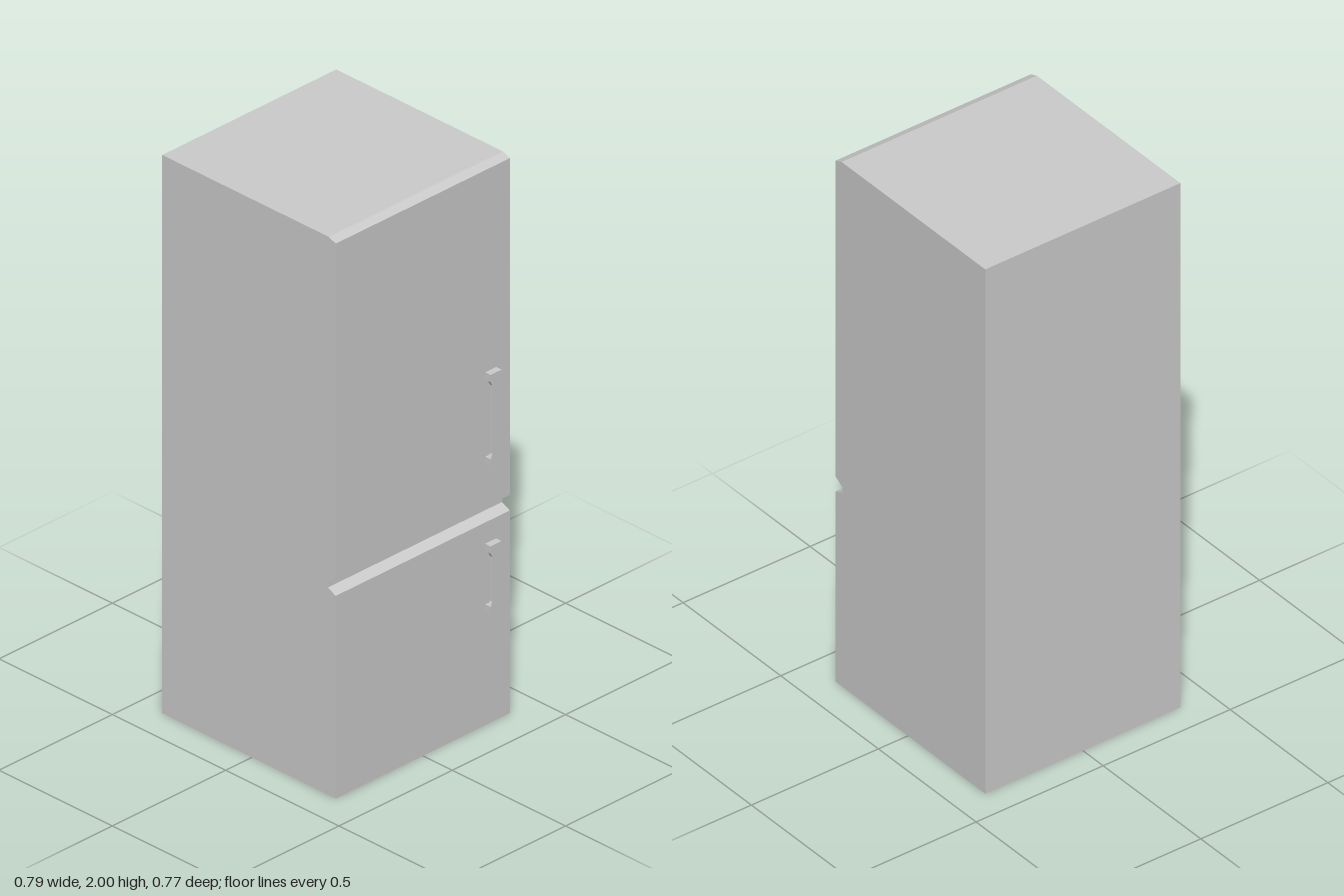
import * as THREE from 'three';

const material = new THREE.MeshStandardMaterial({ color: 0xcccccc, flatShading: true });

// Extrudes a closed outline given as [x, y] points
function extrude(points, depth) {
  const shape = new THREE.Shape(points.map(([x, y]) => new THREE.Vector2(x, y)));
  return new THREE.ExtrudeGeometry(shape, { depth, bevelEnabled: false });
}

function addMesh(parent, name, geometry) {
  const mesh = new THREE.Mesh(geometry, material);
  mesh.name = name;
  parent.add(mesh);
  return mesh;
}

const FACE = 0.37;             // door plane
const OUTER = 0.394;           // outer face of the handles
const NEAR = 0.275, FAR = 0.324; // handle extent towards the back

function createHandle(name, bottom, top) {
  const handle = new THREE.Group();
  handle.name = name;
  const foot = 0.026, thick = 0.011, waist = NEAR + 0.008;

  // Grip bar, waisted on its inner edge
  const grip = extrude([
    [NEAR, bottom], [FAR, bottom], [FAR, top], [NEAR, top],
    [NEAR, top - foot], [waist, top - foot - 0.015],
    [waist, bottom + foot + 0.015], [NEAR, bottom + foot],
  ], thick);
  grip.rotateY(Math.PI / 2);
  grip.translate(OUTER - thick, 0, 0);
  addMesh(handle, 'grip', grip);

  // Mounting feet joining the grip to the door
  const reach = OUTER - thick - FACE;
  for (const y of [bottom + foot / 2, top - foot / 2]) {
    addMesh(handle, 'handleFoot', new THREE.BoxGeometry(reach, foot, FAR - NEAR))
      .position.set(FACE + reach / 2, y, -(NEAR + FAR) / 2);
  }
  return handle;
}

export function createModel() {
  const fridge = new THREE.Group();
  fridge.name = 'refrigerator';

  // Cabinet with the groove between the doors and a chamfered top edge
  const cabinet = extrude([
    [-0.396, 0], [FACE, 0], [FACE, 0.726], [0.335, 0.742],
    [0.335, 0.762], [FACE, 0.782], [FACE, 1.988], [0.339, 2], [-0.396, 2],
  ], 0.768);
  cabinet.translate(0, 0, -0.384);
  addMesh(fridge, 'cabinet', cabinet);

  fridge.add(createHandle('upperDoorHandle', 0.936, 1.264));
  fridge.add(createHandle('lowerDoorHandle', 0.407, 0.65));
  return fridge;
}
